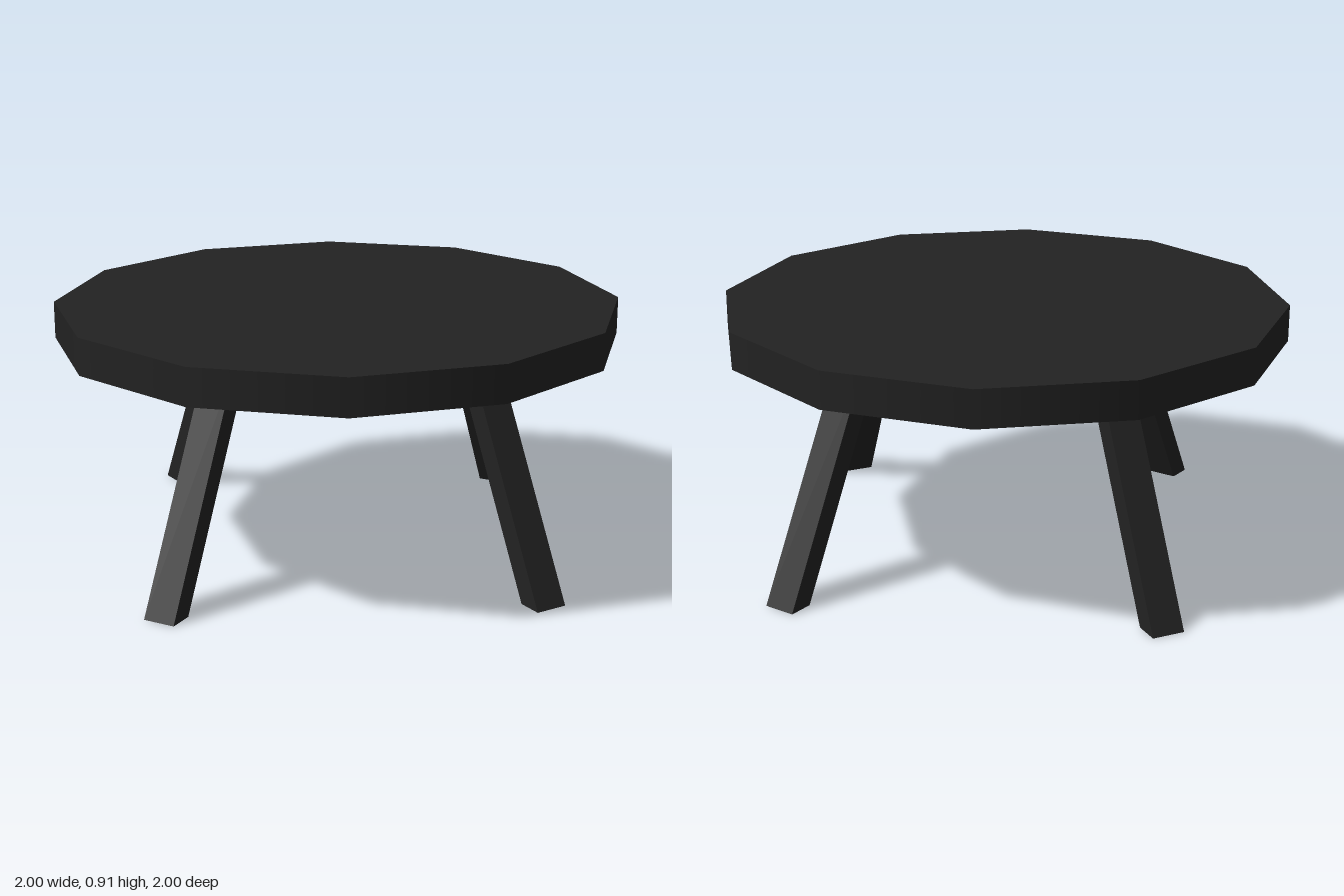
import * as THREE from 'three';

const LEG_WIDTH = 0.116, LEG_DEPTH = 0.089, LEG_HEIGHT = 0.79;
const LEAN_X = 0.263, LEAN_Z = 0.455; // inward travel per unit of height

// Slanted leg with its ends cut level; x, z is the centre of the foot
function makeLeg(name, x, z, material) {
  const sx = Math.sign(x), sz = Math.sign(z);
  const geometry = new THREE.BoxGeometry(LEG_WIDTH, LEG_HEIGHT, LEG_DEPTH);
  geometry.translate(0, LEG_HEIGHT / 2, 0);
  geometry.rotateY(Math.atan2(sx * LEAN_X, sz * LEAN_Z));
  geometry.applyMatrix4(new THREE.Matrix4().set(
    1, -sx * LEAN_X, 0, 0,
    0, 1, 0, 0,
    0, -sz * LEAN_Z, 1, 0,
    0, 0, 0, 1
  ));
  const leg = new THREE.Mesh(geometry, material);
  leg.name = name;
  leg.position.set(x, 0, z);
  return leg;
}

export function createModel() {
  const group = new THREE.Group();
  group.name = 'roundTable';
  const black = new THREE.MeshStandardMaterial({ color: 0x222222 });
  black.name = 'black';

  // Twelve-sided table top
  const top = new THREE.Mesh(new THREE.CylinderGeometry(1, 1, 0.13, 12), black);
  top.name = 'tableTop';
  top.position.y = 0.843;
  group.add(top);

  // Four splayed legs, standing slightly off centre
  const feet = [
    ['frontLeftLeg', 0.672, 0.637],
    ['frontRightLeg', -0.592, 0.707],
    ['backLeftLeg', 0.672, -0.672],
    ['backRightLeg', -0.592, -0.737],
  ];
  for (const [name, x, z] of feet) group.add(makeLeg(name, x, z, black));

  return group;
}
